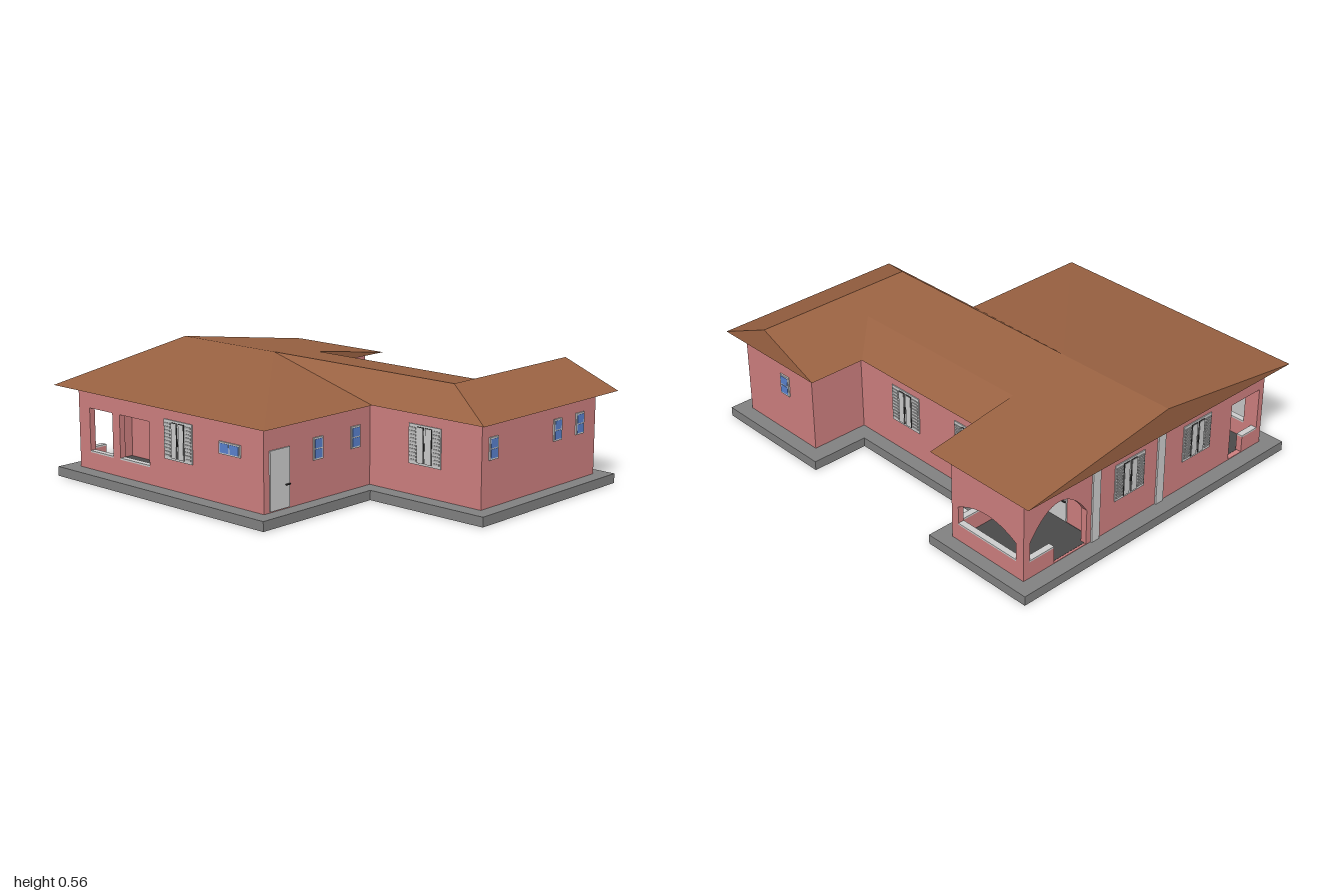
import * as THREE from 'three';

const mat = (name, color, side = THREE.FrontSide) => {
  const m = new THREE.MeshStandardMaterial({ color, side });
  m.name = name;
  return m;
};

export function createModel() {
  const house = new THREE.Group();
  house.name = 'house';
  const pink = mat('pink plaster', 0xcf8080);
  const brown = mat('brown roof', 0x9a6242, THREE.DoubleSide);
  const concrete = mat('grey concrete', 0x828282);
  const light = mat('light grey trim', 0xcecece);
  const slatGrey = mat('shutter grey', 0xb4b4b4);
  const blue = mat('blue glass', 0x5a82cf);
  const dark = mat('dark metal', 0x303030);
  const tile = mat('dark floor tile', 0x4a4a4a);

  const add = (parent, name, geo, material, x = 0, y = 0, z = 0) => {
    const m = new THREE.Mesh(geo, material);
    m.name = name;
    m.position.set(x, y, z);
    parent.add(m);
    return m;
  };
  const box = (parent, name, w, h, d, material, x, y, z) =>
    add(parent, name, new THREE.BoxGeometry(w, h, d), material, x, y, z);

  // Floor plan of [x, z] corners raised to a solid
  const raise = (name, plan, y0, y1, material) => {
    const s = new THREE.Shape(plan.map(([x, z]) => new THREE.Vector2(x, -z)));
    const g = new THREE.ExtrudeGeometry(s, { depth: y1 - y0, bevelEnabled: false });
    add(house, name, g.rotateX(-Math.PI / 2), material, 0, y0, 0);
  };
  const FLOOR = 0.045, EAVE = 0.44, RIDGE = 0.56;

  raise('foundationSlab', [[-0.815, 0.35], [-0.145, 0.35], [-0.145, 0.98], [0.835, 0.98], [0.835, 0.345],
    [0.55, 0.345], [0.55, -0.42], [0.83, -0.42], [0.83, -1], [-0.815, -1]], 0, FLOOR, concrete);
  raise('houseBody', [[-0.74, 0.28], [-0.07, 0.28], [-0.07, 0.91], [0.765, 0.91], [0.765, 0.43], [0.48, 0.43],
    [0.48, -0.495], [0.345, -0.495], [0.345, -0.925], [-0.45, -0.925], [-0.45, -0.4], [-0.74, -0.4]],
  FLOOR, EAVE, pink);

  // Porch floors
  box(house, 'archPorchFloor', 0.4, 0.004, 0.41, tile, 0.55, FLOOR + 0.002, -0.71);
  box(house, 'cornerPorchFloor', 0.27, 0.004, 0.5, tile, -0.59, FLOOR + 0.002, -0.65);

  // Porch openings: arched or square, with an optional gap in the parapet from g0 to g1
  const SILL = 0.125, T = 0.03;
  const opening = (a, b, spring, top, gap) => {
    const p = new THREE.Path();
    p.moveTo(a, SILL);
    if (gap) {
      const low = FLOOR + 0.003;
      if (gap[0] > a) p.lineTo(gap[0], SILL);
      p.lineTo(gap[0], low);
      p.lineTo(gap[1], low);
      if (gap[1] < b) p.lineTo(gap[1], SILL);
    }
    if (!gap || gap[1] < b) p.lineTo(b, SILL);
    p.lineTo(b, spring);
    if (top > spring) p.quadraticCurveTo((a + b) / 2, 2 * top - spring, a, spring);
    else p.lineTo(a, spring);
    p.closePath();
    return p;
  };
  const porchWall = (name, u0, u1, holes) => {
    const s = new THREE.Shape();
    s.moveTo(u0, FLOOR);
    s.lineTo(u1, FLOOR);
    s.lineTo(u1, EAVE);
    s.lineTo(u0, EAVE);
    s.closePath();
    s.holes.push(...holes);
    const g = new THREE.ExtrudeGeometry(s, { depth: T, bevelEnabled: false, curveSegments: 16 });
    return add(house, name, g, pink);
  };
  porchWall('archPorchBackWall', 0.345, 0.765, [opening(0.4, 0.73, 0.22, 0.345, [0.4, 0.59])]).position.z = -0.925;
  porchWall('archPorchFrontWall', 0.48, 0.765, [opening(0.52, 0.73, 0.215, 0.265)]).position.z = -0.495 - T;
  porchWall('cornerPorchBackWall', -0.74, -0.45, [opening(-0.715, -0.52, 0.335, 0.335, [-0.61, -0.52])]).position.z = -0.925;
  // Side walls run along z, with u = -z
  const archSide = porchWall('archPorchSideWall', 0.495, 0.925, [opening(0.535, 0.88, 0.215, 0.265)]);
  archSide.position.x = 0.765 - T;
  const cornerSide = porchWall('cornerPorchSideWall', 0.4, 0.925,
    [opening(0.44, 0.64, 0.335, 0.335), opening(0.69, 0.85, 0.335, 0.335)]);
  cornerSide.position.x = -0.74;
  archSide.rotation.y = cornerSide.rotation.y = Math.PI / 2;

  // Parapet caps
  const cap = (x0, x1, z0, z1) =>
    box(house, 'parapetCap', x1 - x0, 0.008, z1 - z0, light, (x0 + x1) / 2, SILL + 0.004, (z0 + z1) / 2);
  cap(0.59, 0.73, -0.925, -0.895);
  cap(0.52, 0.73, -0.525, -0.495);
  cap(0.735, 0.765, -0.88, -0.535);
  cap(-0.715, -0.61, -0.925, -0.895);
  cap(-0.74, -0.71, -0.64, -0.44);
  cap(-0.74, -0.71, -0.85, -0.69);

  // Pilasters on the back wall
  for (const x of [0.35, -0.05])
    box(house, 'pilaster', 0.045, EAVE - FLOOR, 0.012, light, x, (EAVE + FLOOR) / 2, -0.927);

  // Wall fittings face local +z
  const FRONT = 0, RIGHT = Math.PI / 2, LEFT = -Math.PI / 2, BACK = Math.PI;
  const fitting = (name, x, y, z, turn) => {
    const g = new THREE.Group();
    g.name = name;
    g.position.set(x, y, z);
    g.rotation.y = turn;
    house.add(g);
    return g;
  };
  const sashWindow = (x, y, z, turn) => {
    const g = fitting('sashWindow', x, y, z, turn);
    box(g, 'windowFrame', 0.06, 0.1, 0.008, light, 0, 0, 0.003);
    for (const s of [-1, 1]) box(g, 'windowPane', 0.046, 0.04, 0.004, blue, 0, s * 0.0225, 0.0065);
  };
  const door = (x, z, turn) => {
    const g = fitting('door', x, 0.183, z, turn);
    box(g, 'doorLeaf', 0.118, 0.265, 0.008, light, 0, 0, 0.003);
    box(g, 'doorHandle', 0.025, 0.005, 0.008, dark, 0.045, -0.03, 0.011);
  };
  const shutters = (x, z, turn) => {
    const g = fitting('shutteredWindow', x, 0.275, z, turn);
    box(g, 'shutterFrame', 0.18, 0.18, 0.006, light, 0, 0, 0.002);
    for (const s of [-1, 1]) {
      box(g, 'innerLeafBorder', 0.036, 0.162, 0.005, dark, s * 0.023, 0, 0.0055);
      box(g, 'innerLeaf', 0.031, 0.157, 0.006, light, s * 0.023, 0, 0.0065);
      for (let i = 0; i < 10; i++)
        box(g, 'slat', 0.036, 0.008, 0.005, slatGrey, s * 0.066, -0.072 + i * 0.016, 0.006);
    }
    box(g, 'shutterHandle', 0.006, 0.035, 0.006, dark, 0, -0.005, 0.011);
  };

  for (const x of [0.007, 0.47, 0.64]) sashWindow(x, 0.305, 0.91, FRONT);
  sashWindow(-0.41, 0.275, 0.28, FRONT);
  sashWindow(-0.17, 0.282, 0.28, FRONT);
  sashWindow(0.765, 0.297, 0.627, RIGHT);
  door(-0.648, 0.28, FRONT);
  door(0.345, -0.7, RIGHT);
  door(-0.45, -0.55, LEFT);
  shutters(0.48, 0.12, RIGHT);
  shutters(0.48, -0.295, RIGHT);
  shutters(0.145, -0.925, BACK);
  shutters(-0.285, -0.925, BACK);
  shutters(-0.74, -0.245, LEFT);
  shutters(-0.07, 0.6, LEFT);
  // Small high window on the left wall
  const small = fitting('smallWindow', -0.74, 0.295, 0.08, LEFT);
  box(small, 'smallWindowFrame', 0.13, 0.055, 0.008, light, 0, 0, 0.003);
  for (const s of [-1, 1]) box(small, 'smallWindowPane', 0.054, 0.042, 0.004, blue, s * 0.03, 0, 0.0065);

  // Roof corners
  const E = (x, z) => [x, EAVE, z], R = (x, z) => [x, RIDGE, z];
  const peak = R(-0.02, -0.365), backPeak = R(-0.02, -0.98), turn = R(-0.02, 0.715), wingPeak = R(0.797, 0.715);
  const breakBack = [0.32, 0.51, -0.4], breakFront = [0.32, 0.508, 0.565];
  const backLeft = E(-0.84, -0.98), frontLeft = E(-0.84, 0.385), inner = E(-0.175, 0.385);
  const wingLeft = E(-0.175, 1), wingRight = E(0.81, 1), wingBack = E(0.81, 0.365), valley = E(0.525, 0.365);
  const midBack = E(0.525, -0.4), sideFront = E(0.795, -0.4), sideBack = E(0.795, -0.98);
  const faces = {
    mainLeftSlope: [backLeft, frontLeft, peak, backPeak],
    mainFrontHip: [frontLeft, inner, peak],
    wingLeftSlope: [inner, wingLeft, turn, peak],
    wingFrontSlope: [wingLeft, wingRight, wingPeak, turn],
    wingGable: [wingRight, wingBack, wingPeak],
    wingBackSlope: [wingPeak, wingBack, valley, breakFront, turn],
    mainRightSlope: [breakBack, backPeak, peak, turn, breakFront],
    backRightSlope: [breakBack, sideFront, sideBack, backPeak],
    lowerRightSlope: [breakFront, valley, midBack, breakBack],
    sideGable: [breakBack, midBack, sideFront],
    backGable: [sideBack, backLeft, backPeak],
  };
  const roof = new THREE.Group();
  roof.name = 'roof';
  house.add(roof);
  for (const [name, pts] of Object.entries(faces)) {
    const tris = [];
    for (let i = 1; i < pts.length - 1; i++) tris.push(...pts[0], ...pts[i], ...pts[i + 1]);
    const g = new THREE.BufferGeometry();
    g.setAttribute('position', new THREE.Float32BufferAttribute(tris, 3));
    g.computeVertexNormals();
    add(roof, name, g, brown);
  }
  // Flat underside of the eaves
  const outline = [backLeft, sideBack, sideFront, midBack, valley, wingBack, wingRight, wingLeft, inner, frontLeft];
  const soffit = new THREE.ShapeGeometry(new THREE.Shape(outline.map(([x, , z]) => new THREE.Vector2(x, z))));
  add(roof, 'soffit', soffit.rotateX(Math.PI / 2), brown, 0, EAVE, 0);
  return house;
}
